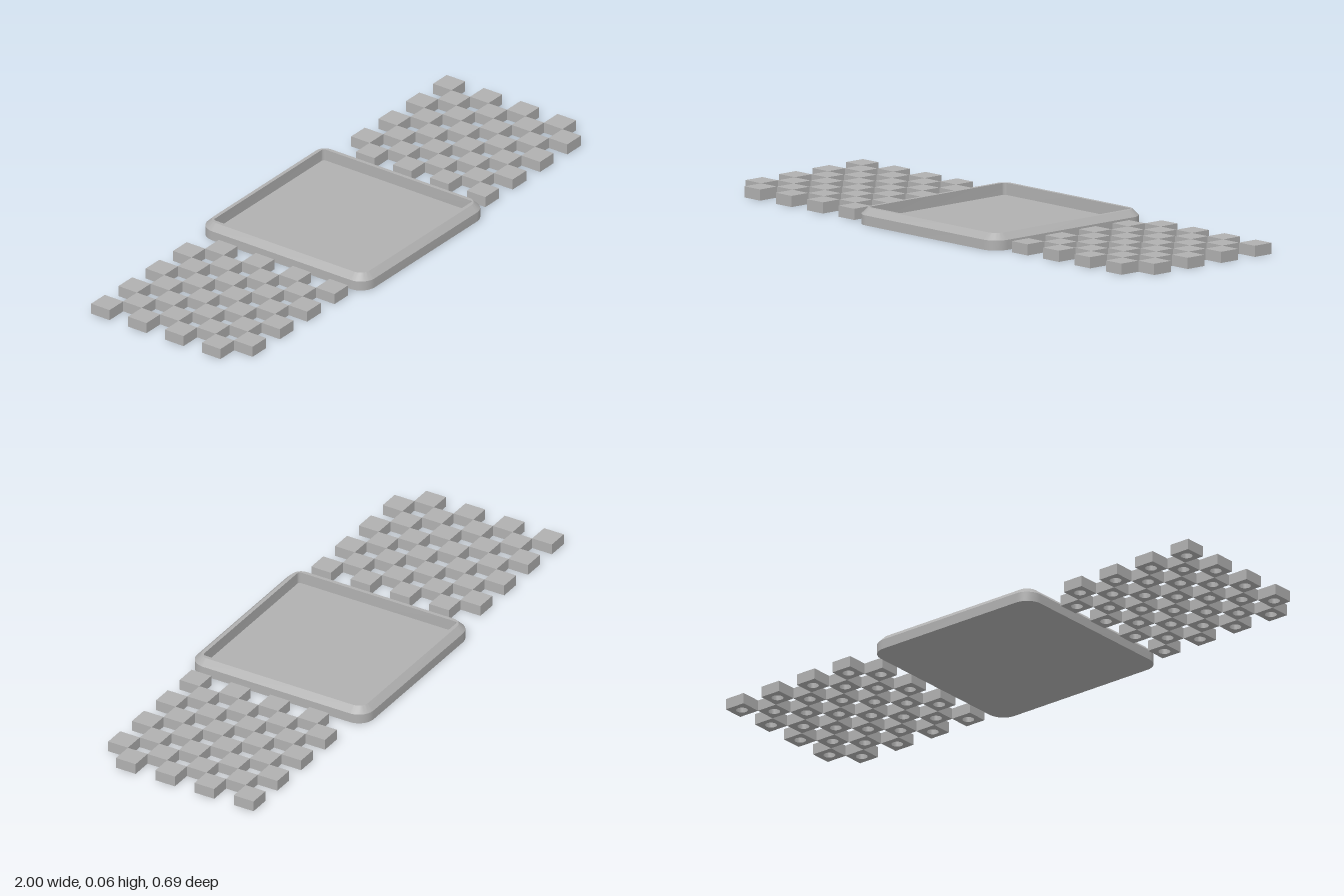
import * as THREE from 'three';
import { toCreasedNormals } from 'three/addons/utils/BufferGeometryUtils.js';

const TILE = 0.0768, TILE_H = 0.038, GRID = 8;

// Closed solid skinned over rounded-square rings; each level is [halfWidth, cornerRadius, y]
function skinRoundedSquares(levels, steps = 10) {
  const rings = levels.map(([half, r, y]) => {
    const ring = [];
    for (let c = 0; c < 4; c++) {
      const mid = Math.PI / 4 + c * Math.PI / 2;
      const cx = Math.sign(Math.cos(mid)) * (half - r), cz = Math.sign(Math.sin(mid)) * (half - r);
      for (let s = 0; s <= steps; s++) {
        const t = (c + s / steps) * Math.PI / 2;
        ring.push(new THREE.Vector3(cx + r * Math.cos(t), y, cz + r * Math.sin(t)));
      }
    }
    return ring;
  });
  const positions = [];
  const tri = (...p) => {
    if (new THREE.Triangle(...p).getArea() > 1e-9) p.forEach(v => positions.push(v.x, v.y, v.z));
  };
  for (let i = 0; i < rings.length - 1; i++) {
    const n = rings[i].length;
    for (let j = 0; j < n; j++) {
      const k = (j + 1) % n;
      const a = rings[i][j], b = rings[i][k], c = rings[i + 1][j], d = rings[i + 1][k];
      tri(a, c, b);
      tri(b, c, d);
    }
  }
  const geo = new THREE.BufferGeometry();
  geo.setAttribute('position', new THREE.Float32BufferAttribute(positions, 3));
  return toCreasedNormals(geo, 0.5);
}

// Square tile with a blind round magnet hole underneath
function makeTile(material) {
  const tile = new THREE.Group();
  const h = TILE / 2, depth = 0.026, radius = 0.02;
  const outline = new THREE.Shape([[-h, -h], [h, -h], [h, h], [-h, h]].map(p => new THREE.Vector2(...p)));
  outline.holes.push(new THREE.Path().absarc(0, 0, radius, 0, Math.PI * 2, true));
  const lower = new THREE.ExtrudeGeometry(outline, { depth, bevelEnabled: false, curveSegments: 12 });
  const body = new THREE.Mesh(toCreasedNormals(lower.rotateX(-Math.PI / 2), 0.6), material);
  body.name = 'tileBody';
  const cap = new THREE.Mesh(new THREE.BoxGeometry(TILE, TILE_H - depth, TILE), material);
  cap.position.y = (TILE_H + depth) / 2;
  cap.name = 'tileCap';
  tile.add(body, cap);
  return tile;
}

export function createModel() {
  const model = new THREE.Group();
  model.name = 'trayWithTiles';
  const grey = new THREE.MeshStandardMaterial({ color: 0xb0b0b0 });
  grey.name = 'grey';

  // Tray: flat base, upright side, chamfer, narrow rim, recessed floor
  const tray = new THREE.Mesh(skinRoundedSquares([
    [0, 0, 0],
    [0.345, 0.058, 0],
    [0.345, 0.058, 0.034],
    [0.323, 0.036, 0.056],
    [0.31, 0.01, 0.056],
    [0.31, 0.01, 0.015],
    [0, 0, 0.015],
  ]), grey);
  tray.name = 'tray';
  model.add(tray);

  // Two checkerboard sets of loose tiles, one each side of the tray
  const prototype = makeTile(grey);
  for (const [name, startX] of [['rightTiles', -1], ['leftTiles', 1 - GRID * TILE]]) {
    const set = new THREE.Group();
    set.name = name;
    const parity = startX < 0 ? 0 : 1;
    for (let row = 0; row < GRID; row++) {
      for (let col = 0; col < GRID; col++) {
        if ((row + col) % 2 !== parity) continue;
        const tile = prototype.clone();
        tile.name = 'tile';
        tile.position.set(startX + (col + 0.5) * TILE, 0, (row + 0.5 - GRID / 2) * TILE);
        set.add(tile);
      }
    }
    model.add(set);
  }
  return model;
}
